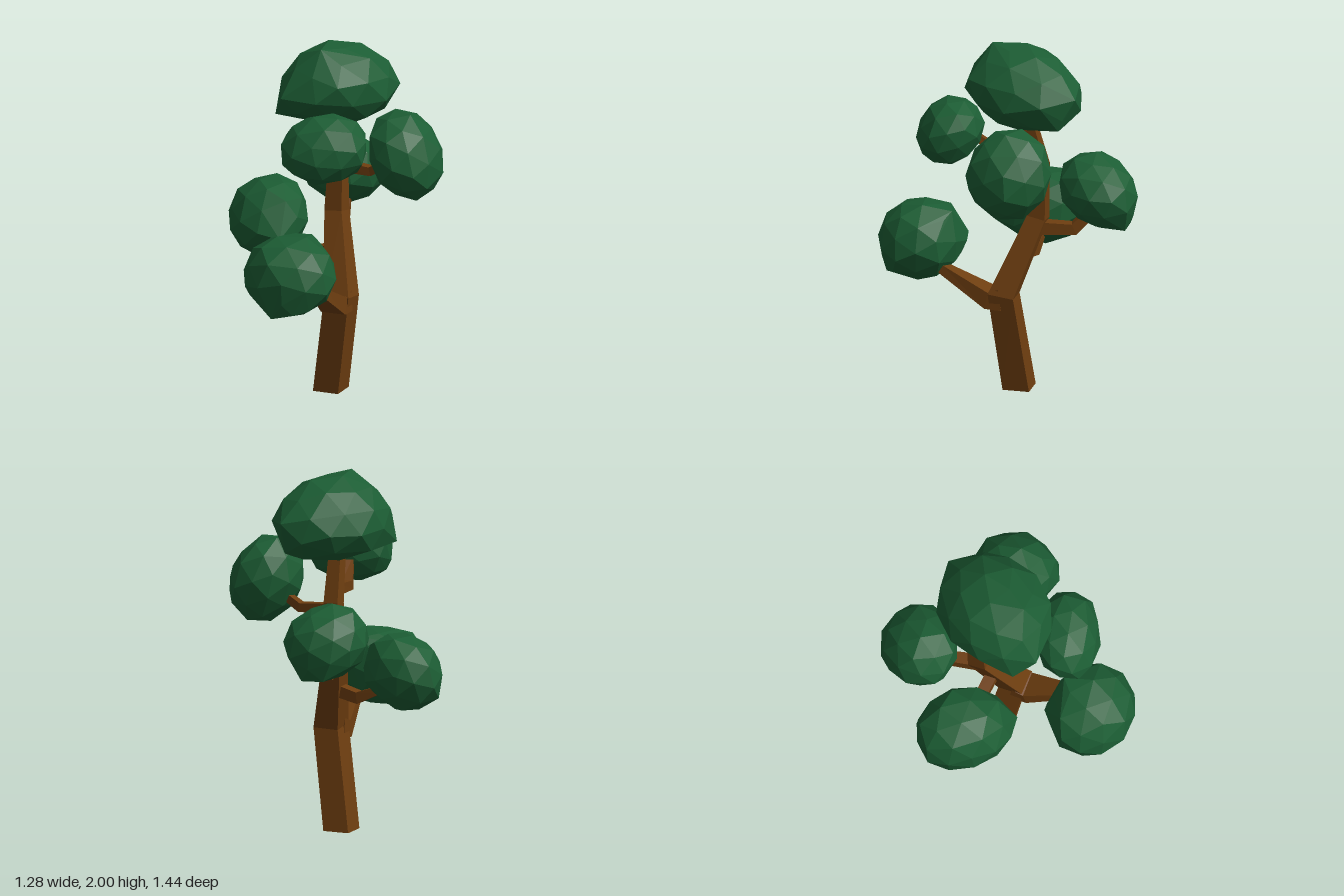
import * as THREE from 'three';
import { ConvexGeometry } from 'three/addons/geometries/ConvexGeometry.js';

const wood = new THREE.MeshStandardMaterial({ color: 0x6e3e10, flatShading: true });
const leaf = new THREE.MeshStandardMaterial({ color: 0x1c5d34, flatShading: true });

// Four-sided limb through stations [x, y, z, halfWidth, halfHeight = halfWidth]; startDir fixes the first cut
function limb(name, stations, startDir) {
  const pts = stations.map(s => new THREE.Vector3(s[0], s[1], s[2]));
  const last = pts.length - 1;
  const span = pts[last].clone().sub(pts[0]).normalize();
  const ref = Math.abs(span.y) > 0.8 ? new THREE.Vector3(0, 0, 1) : new THREE.Vector3(0, 1, 0);
  const pos = [], idx = [];
  pts.forEach((p, i) => {
    const t = new THREE.Vector3();
    if (i > 0) t.add(p.clone().sub(pts[i - 1]).normalize());
    if (i < last) t.add(pts[i + 1].clone().sub(p).normalize());
    if (i === 0 && startDir) t.copy(startDir);
    t.normalize();
    const u = ref.clone().cross(t).normalize();
    const v = t.clone().cross(u);
    const w = stations[i][3], h = stations[i][4] ?? w;
    for (const [a, b] of [[-1, -1], [1, -1], [1, 1], [-1, 1]]) {
      pos.push(...p.clone().addScaledVector(u, a * w).addScaledVector(v, b * h).toArray());
    }
    if (i < last) {
      for (let k = 0; k < 4; k++) {
        const a = i * 4 + k, b = i * 4 + (k + 1) % 4;
        idx.push(a, b, b + 4, a, b + 4, a + 4);
      }
    }
  });
  const e = last * 4;
  idx.push(0, 2, 1, 0, 3, 2, e, e + 1, e + 2, e, e + 2, e + 3);
  const indexed = new THREE.BufferGeometry();
  indexed.setAttribute('position', new THREE.Float32BufferAttribute(pos, 3));
  indexed.setIndex(idx);
  const geo = indexed.toNonIndexed();
  geo.computeVertexNormals();
  const mesh = new THREE.Mesh(geo, wood);
  mesh.name = name;
  return mesh;
}

// Faceted leaf clump: a skewed, tapered icosphere plus corner tips, fitted to a box.
// skew = [xy, yz, xz] lean; tips are corners in box units from -1 to 1
function clump({ name, centre, half, skew, turn, taper = 0, tips = [] }) {
  const [xy, yz, xz] = skew.map(s => s / 2);
  const lean = new THREE.Matrix4().set(1, xy, xz, 0, xy, 1, yz, 0, xz, yz, 1, 0, 0, 0, 0, 1);
  const ball = new THREE.IcosahedronGeometry(1, 1).attributes.position;
  const spin = new THREE.Euler(turn, turn * 1.7, turn * 0.6);
  const seen = new Map();
  for (let i = 0; i < ball.count; i++) {
    const p = new THREE.Vector3().fromBufferAttribute(ball, i);
    seen.set(p.toArray().map(c => Math.round(c * 1000)).join(), p);
  }
  const pts = [...seen.values()];
  pts.forEach((p, i) => {
    p.multiplyScalar(1 + 0.035 * Math.sin(i * 7.3 + turn * 9)).applyEuler(spin);
    const s = 1 - taper * p.y;
    p.set(p.x * s, p.y, p.z * s).applyMatrix4(lean);
  });
  const box = new THREE.Box3().setFromPoints(pts);
  const mid = box.getCenter(new THREE.Vector3());
  const size = box.getSize(new THREE.Vector3()).multiplyScalar(0.5);
  pts.forEach(p => p.sub(mid).divide(size));
  pts.push(...tips.map(t => new THREE.Vector3(...t)));
  const h = new THREE.Vector3(...half);
  const mesh = new THREE.Mesh(new ConvexGeometry(pts.map(p => p.multiply(h))), leaf);
  mesh.position.set(...centre);
  mesh.name = name;
  return mesh;
}

export function createModel() {
  const tree = new THREE.Group();
  tree.name = 'tree';

  // Crooked trunk
  tree.add(limb('trunk', [
    [0, 0, -0.07, 0.075], [0.092, 0.57, -0.005, 0.073], [-0.01, 1.0, -0.175, 0.052],
    [-0.008, 1.3, -0.19, 0.042], [0.005, 1.64, -0.1, 0.034],
  ], new THREE.Vector3(0, 1, 0)));

  // Branches
  const branches = {
    lowFrontBranch: [[0.085, 0.55, 0, 0.073, 0.062], [0.083, 0.54, 0.08, 0.073, 0.048], [0.1, 0.695, 0.345, 0.033, 0.025]],
    rightBranch: [[0.03, 0.8, -0.1, 0.034], [-0.13, 0.765, -0.12, 0.032], [-0.26, 0.82, -0.13, 0.022]],
    backBranch: [[-0.01, 0.94, -0.17, 0.036], [-0.05, 0.935, -0.37, 0.032], [-0.08, 1.05, -0.48, 0.026]],
    leftBranch: [[0, 1.265, -0.18, 0.03], [0.2, 1.255, -0.17, 0.025], [0.34, 1.335, -0.15, 0.02]],
    highFrontBranch: [[0, 1.37, -0.17, 0.033], [0.01, 1.355, 0.04, 0.028], [0.06, 1.48, 0.18, 0.02]],
  };
  for (const [name, path] of Object.entries(branches)) tree.add(limb(name, path));

  // Leaf clumps
  const clumps = [
    { name: 'crownLeaves', centre: [0.035, 1.77, -0.105], half: [0.3, 0.23, 0.335], skew: [0, 0.12, -0.12], turn: 0.4, taper: 0.15,
      tips: [[-0.96, -0.7, 0.65], [0.6, -0.8, -0.72], [0.55, 0, -1], [0.98, -0.1, -0.5], [-0.1, 1, 0.55], [-0.7, -0.15, 0.97]] },
    { name: 'highFrontLeaves', centre: [0.12, 1.505, 0.29], half: [0.23, 0.185, 0.19], skew: [0.05, -0.2, -0.14], turn: 1.1,
      tips: [[-0.88, -0.62, 0.3]] },
    { name: 'leftLeaves', centre: [0.43, 1.39, -0.12], half: [0.21, 0.24, 0.24], skew: [-0.2, 0, 0], turn: 2.0 },
    { name: 'rightLeaves', centre: [-0.4, 0.93, -0.115], half: [0.24, 0.21, 0.255], skew: [0.1, -0.08, 0.2], turn: 2.7,
      tips: [[-0.3, 0.1, -1], [0.75, -0.2, 0.95]] },
    { name: 'lowFrontLeaves', centre: [-0.005, 0.82, 0.48], half: [0.265, 0.22, 0.24], skew: [0, 0, 0.05], turn: 3.3,
      tips: [[-0.1, -0.92, 0.85], [0.35, -0.8, 0.75], [0.2, 0.85, -0.75], [-0.4, 0.1, -0.98]] },
    { name: 'backLeaves', centre: [-0.1, 1.15, -0.495], half: [0.235, 0.21, 0.225], skew: [-0.05, 0.15, -0.08], turn: 4.2,
      tips: [[-0.25, -0.92, -0.75], [0.3, -0.95, -0.75], [-0.8, 0, 0.72]] },
  ];
  clumps.forEach(c => tree.add(clump(c)));
  return tree;
}
